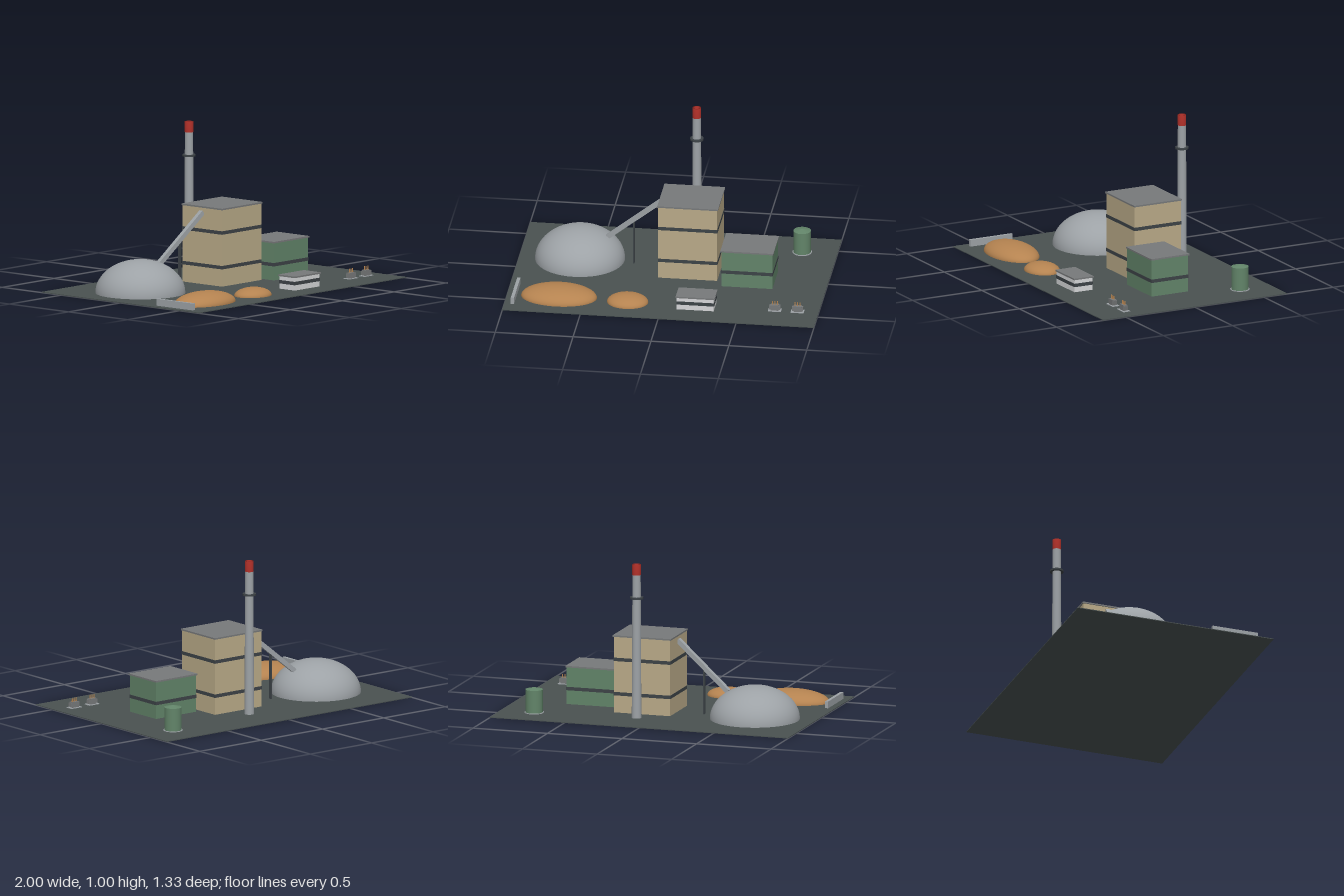
import * as THREE from 'three';

const mat = (name, color, side = THREE.FrontSide) => {
  const m = new THREE.MeshStandardMaterial({ color, side });
  m.name = name;
  return m;
};

export function createModel() {
  const root = new THREE.Group();
  root.name = 'powerPlant';

  const asphalt = mat('asphalt', 0x4a5251);
  const concrete = mat('concrete', 0x9da2a6, THREE.DoubleSide);
  const roofGrey = mat('roofGrey', 0x77797a);
  const beige = mat('beigeCladding', 0xb9aa88);
  const green = mat('greenCladding', 0x628469);
  const white = mat('officeWhite', 0xd6d7d9);
  const dark = mat('darkSteel', 0x3d4347);
  const red = mat('warningRed', 0xb03029, THREE.DoubleSide);
  const fuel = mat('woodChips', 0xb58350);

  const add = (parent, name, geo, material, x = 0, y = 0, z = 0) => {
    const m = new THREE.Mesh(geo, material);
    m.name = name;
    m.position.set(x, y, z);
    parent.add(m);
    return m;
  };
  // box standing on height y
  const box = (parent, name, material, w, h, d, x, y, z) =>
    add(parent, name, new THREE.BoxGeometry(w, h, d), material, x, y + h / 2, z);
  // upright cylinder standing on height y
  const cyl = (parent, name, material, rTop, rBottom, h, x, y, z, seg = 32) =>
    add(parent, name, new THREE.CylinderGeometry(rTop, rBottom, h, seg), material, x, y + h / 2, z);
  const group = (name, x = 0, z = 0) => {
    const g = new THREE.Group();
    g.name = name;
    g.position.set(x, 0, z);
    root.add(g);
    return g;
  };

  const G = 0.005; // ground level
  box(root, 'ground', asphalt, 2, G, 1.332, 0, 0, 0);

  // buildings: walls, overhanging roof slab and window bands
  const building = (name, wall, x, z, w, d, top, bands, bandH) => {
    const g = group(name, x, z);
    const slab = 0.01;
    box(g, 'walls', wall, w, top - slab - G, d, 0, G, 0);
    box(g, 'roof', roofGrey, w + 0.012, slab, d + 0.012, 0, top - slab, 0);
    for (const y of bands) {
      for (const s of [-1, 1]) {
        box(g, 'windowBand', dark, w + 0.004, bandH, 0.004, 0, y - bandH / 2, s * d / 2);
        box(g, 'windowBand', dark, 0.004, bandH, d - 0.006, s * w / 2, y - bandH / 2, 0);
      }
    }
  };
  building('boilerHouse', beige, 0.108, -0.112, 0.378, 0.334, 0.507, [0.35, 0.127], 0.022);
  building('turbineHall', green, 0.498, -0.002, 0.328, 0.264, 0.254, [0.106], 0.022);
  building('office', white, 0.218, 0.447, 0.238, 0.13, 0.096, [0.05], 0.022);

  // storage dome and fuel piles are half ellipsoids
  const mound = (name, material, x, z, rx, ry, rz) => {
    const geo = new THREE.SphereGeometry(1, 48, 16, 0, Math.PI * 2, 0, Math.PI / 2);
    geo.scale(rx, ry, rz);
    add(root, name, geo, material, x, G, z);
  };
  mound('storageDome', concrete, -0.613, -0.17, 0.287, 0.213, 0.287);
  mound('largeFuelPile', fuel, -0.668, 0.422, 0.243, 0.076, 0.153);
  mound('smallFuelPile', fuel, -0.225, 0.442, 0.132, 0.053, 0.11);
  box(root, 'retainingWall', concrete, 0.021, 0.044, 0.306, -0.947, G, 0.421);

  // chimney with red tip, hollow rim and gallery ring
  const stack = group('chimney', 0.107, -0.39);
  cyl(stack, 'shaft', concrete, 0.0265, 0.031, 0.93, 0, G, 0);
  const tip = [[0.0275, 0.935], [0.0275, 1.003], [0.019, 1.003], [0.019, 0.96]];
  const rim = new THREE.LatheGeometry(tip.map(p => new THREE.Vector2(...p)), 32);
  add(stack, 'redTip', rim, red);
  cyl(stack, 'flueOpening', dark, 0.019, 0.019, 0.01, 0, 0.975, 0);
  cyl(stack, 'gallery', dark, 0.043, 0.043, 0.012, 0, 0.779, 0);

  // inclined conveyor from the dome to the boiler house
  const a = new THREE.Vector3(-0.435, 0.168, -0.17);
  const b = new THREE.Vector3(-0.08, 0.468, -0.115);
  const belt = add(root, 'conveyor', new THREE.BoxGeometry(0.03, 0.03, a.distanceTo(b)), concrete);
  belt.position.copy(a).lerp(b, 0.5);
  belt.lookAt(b);
  box(root, 'conveyorSupport', dark, 0.009, 0.295, 0.022, -0.264, G, -0.144);

  // storage tank with conical lid on a pad
  const tank = group('tank', 0.775, -0.447);
  cyl(tank, 'pad', concrete, 0.062, 0.062, 0.004, 0, G, 0);
  cyl(tank, 'shell', green, 0.055, 0.055, 0.152, 0, G, 0);
  cyl(tank, 'lid', green, 0.004, 0.056, 0.013, 0, 0.157, 0);

  // transformers with cooling fins and bushings
  for (const x of [0.72, 0.866]) {
    const t = group('transformer', x, 0.443);
    box(t, 'pad', concrete, 0.084, 0.004, 0.05, 0, G, 0);
    box(t, 'body', roofGrey, 0.05, 0.036, 0.03, 0, 0.009, 0);
    for (const s of [-1, 1])
      for (let i = 0; i < 3; i++)
        box(t, 'coolingFin', roofGrey, 0.01, 0.026, 0.005, s * 0.03, 0.014, (i - 1) * 0.01);
    for (let i = -1; i <= 1; i++)
      cyl(t, 'bushing', fuel, 0.003, 0.004, 0.024, i * 0.016, 0.045, 0, 10);
  }
  return root;
}
